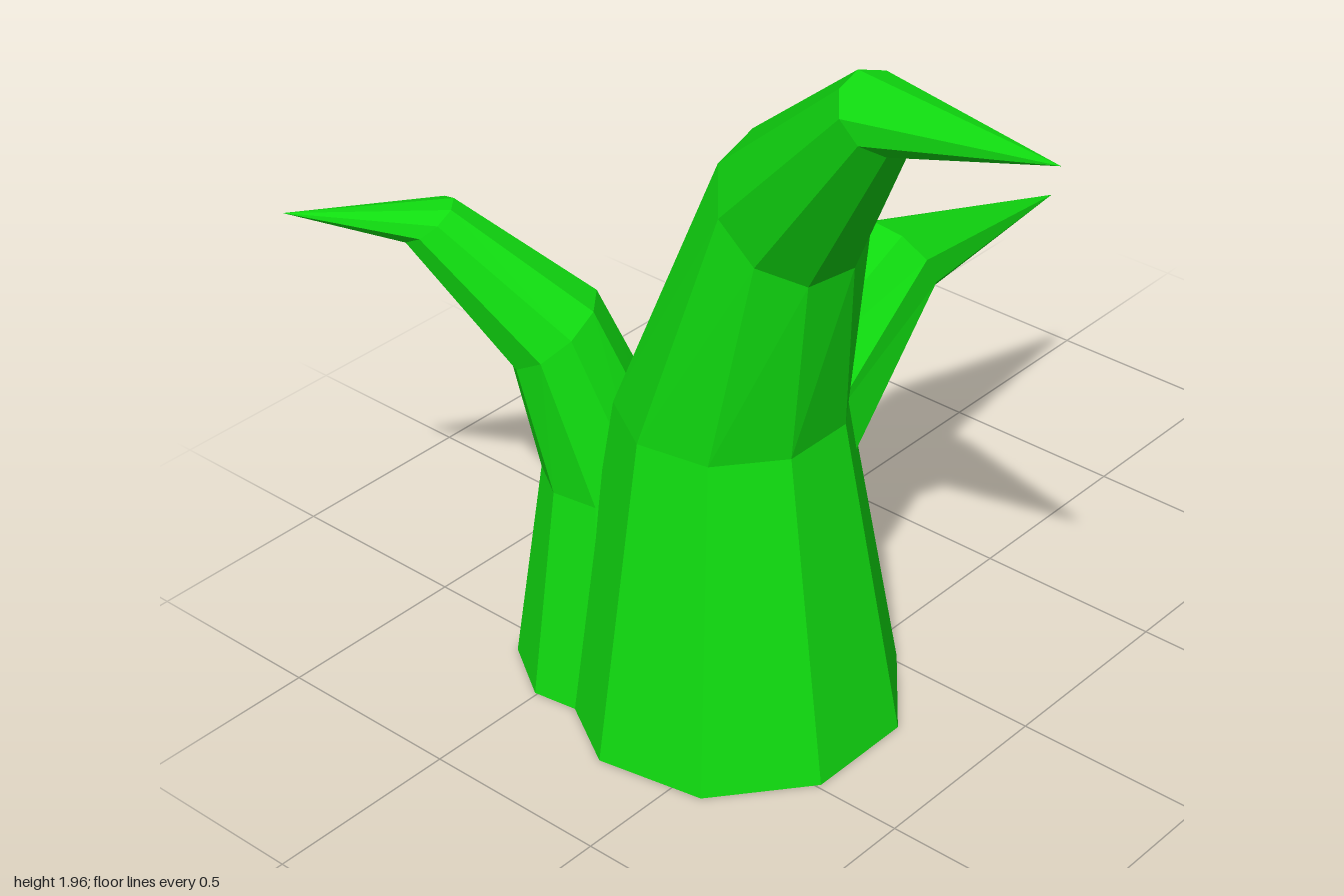
import * as THREE from 'three';

const SIDES = 9;
const rad = THREE.MathUtils.degToRad;

// One nine-sided ring: centre, radius, and how far it leans towards a heading
function ring([x, y, z, radius, lean], heading, phase) {
  const h = rad(heading), t = rad(lean);
  const side = new THREE.Vector3(Math.cos(h), 0, -Math.sin(h));
  const down = new THREE.Vector3(Math.sin(h) * Math.cos(t), -Math.sin(t), Math.cos(h) * Math.cos(t));
  return Array.from({ length: SIDES }, (_, i) => {
    const a = rad(phase + (i * 360) / SIDES);
    return new THREE.Vector3(x, y, z)
      .addScaledVector(down, radius * Math.cos(a))
      .addScaledVector(side, radius * Math.sin(a));
  });
}

// Skin the rings, close the bottom and draw the top to a point
function hornGeometry({ rings, tip, heading, phase }) {
  const loops = rings.map((r) => ring(r, heading, phase));
  const base = new THREE.Vector3(...rings[0]);
  const end = new THREE.Vector3(...tip);
  const points = [];
  for (let i = 0; i < SIDES; i++) {
    const j = (i + 1) % SIDES;
    points.push(base, loops[0][j], loops[0][i]);
    for (let k = 0; k + 1 < loops.length; k++) {
      const low = loops[k], high = loops[k + 1];
      points.push(low[i], low[j], high[j], low[i], high[j], high[i]);
    }
    const last = loops[loops.length - 1];
    points.push(last[i], last[j], end);
  }
  const geometry = new THREE.BufferGeometry().setFromPoints(points);
  geometry.computeVertexNormals(); // unshared corners give flat facets
  return geometry;
}

// Ring rows: x, y, z, radius, lean in degrees
const horns = {
  mainStalk: {
    heading: -10, phase: 20, tip: [-0.59, 1.96, 0.98],
    rings: [
      [-0.345, 0, -0.13, 0.42, 0],
      [-0.345, 0.85, -0.12, 0.28, 0],
      [-0.385, 1.475, 0.11, 0.193, 44],
      [-0.535, 1.887, 0.477, 0.098, 47],
    ],
  },
  leftSpike: {
    heading: 90, phase: 9, tip: [0.91, 0.86, -0.14],
    rings: [
      [-0.18, 0.73, -0.15, 0.23, 48],
      [0.29, 0.947, -0.155, 0.125, 65],
    ],
  },
  backSpike: {
    heading: -137, phase: -5, tip: [-0.91, 1.285, -0.99],
    rings: [
      [-0.4, 0, -0.45, 0.275, 0],
      [-0.41, 0.56, -0.45, 0.18, 0],
      [-0.5, 0.96, -0.545, 0.135, 37],
      [-0.665, 1.243, -0.77, 0.077, 35],
    ],
  },
};
// The main stalk's foot stands square to the front
function squareFoot(geometry, { rings, heading, phase }) {
  const position = geometry.attributes.position;
  const turn = new THREE.Matrix4();
  const p = new THREE.Vector3();
  for (const [x, y, z] of rings.slice(0, 2)) {
    turn.makeRotationY(rad(20 - phase - heading));
    for (let i = 0; i < position.count; i++) {
      p.fromBufferAttribute(position, i);
      if (Math.abs(p.y - y) > 1e-4) continue;
      p.set(p.x - x, 0, p.z - z).applyMatrix4(turn);
      position.setXYZ(i, p.x + x, y, p.z + z);
    }
  }
  geometry.computeVertexNormals();
}

export function createModel() {
  const group = new THREE.Group();
  group.name = 'thornPlant';
  const green = new THREE.MeshStandardMaterial({ color: 0x10dc10 });
  green.name = 'green';
  for (const [name, horn] of Object.entries(horns)) {
    const geometry = hornGeometry(horn);
    if (name === 'mainStalk') squareFoot(geometry, horn);
    const mesh = new THREE.Mesh(geometry, green);
    mesh.name = name;
    group.add(mesh);
  }
  return group;
}
